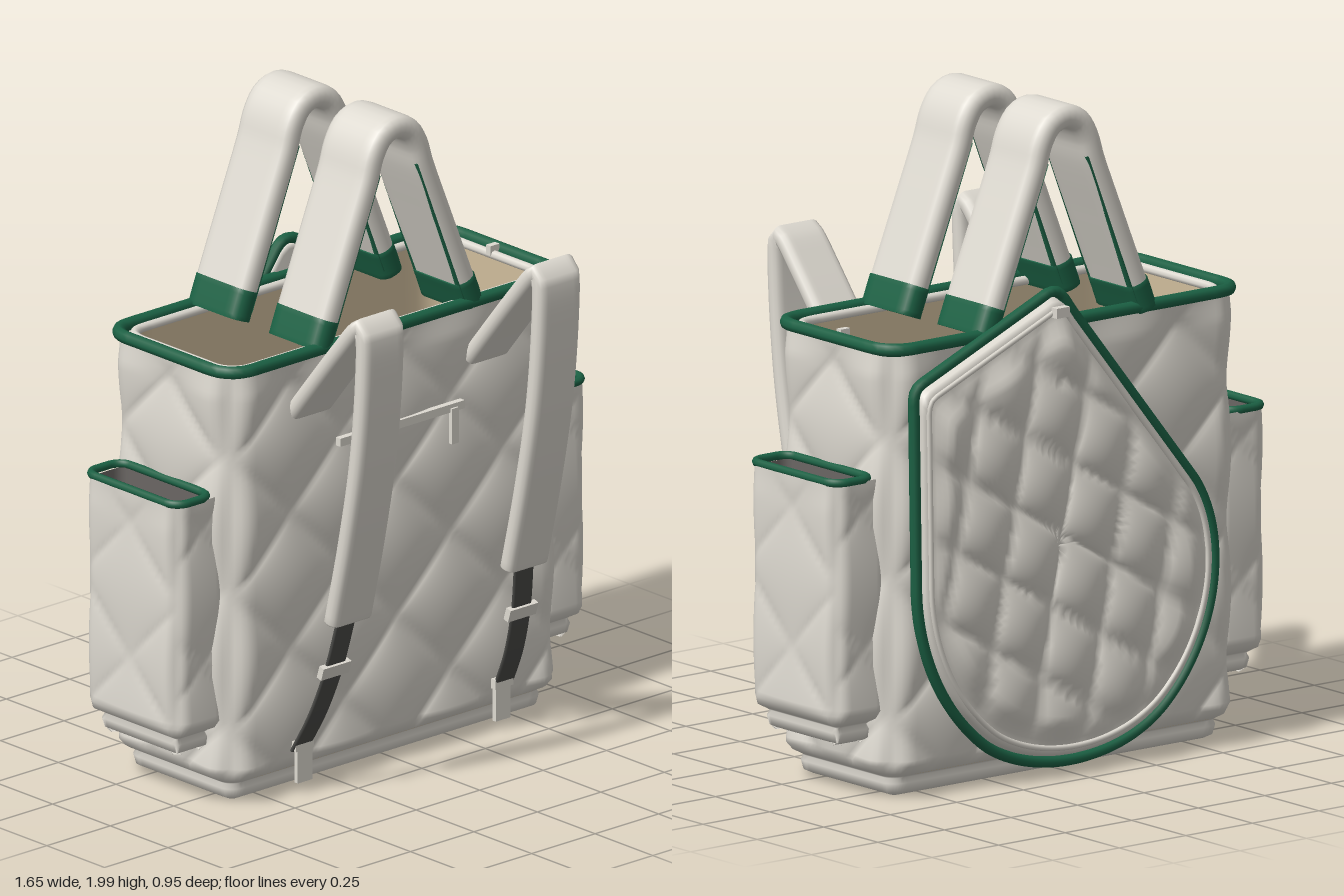
import * as THREE from 'three';

const mat = (name, color, side = THREE.FrontSide) => {
  const m = new THREE.MeshStandardMaterial({ color, side });
  m.name = name;
  return m;
};
const V = (x, y, z) => new THREE.Vector3(x, y, z);
const CZ = -0.122; // depth centre of the bag

// Smooth skin over rows of points, each row a closed loop; always faces outward
function skin(rows) {
  const n = rows[0].length, pts = rows.flat(), idx = [];
  for (let j = 0; j < rows.length - 1; j++) {
    for (let i = 0; i < n; i++) {
      const a = j * n + i, b = j * n + (i + 1) % n;
      idx.push(a, b, a + n, b, b + n, a + n);
    }
  }
  const c = pts.reduce((s, p) => s.add(p), V(0, 0, 0)).divideScalar(pts.length);
  let volume = 0;
  for (let i = 0; i < idx.length; i += 3) {
    const [p, q, r] = [0, 1, 2].map(k => pts[idx[i + k]].clone().sub(c));
    volume += p.dot(q.cross(r));
  }
  if (volume < 0) idx.reverse();
  const g = new THREE.BufferGeometry().setFromPoints(pts);
  g.setIndex(idx);
  g.computeVertexNormals();
  return g;
}

// Rounded rectangle in plan, as points with outward normals
function ring(hw, hd, r, n) {
  const s = new THREE.Shape();
  s.absarc(hw - r, hd - r, r, 0, Math.PI / 2);
  s.absarc(r - hw, hd - r, r, Math.PI / 2, Math.PI);
  s.absarc(r - hw, r - hd, r, Math.PI, Math.PI * 1.5);
  s.absarc(hw - r, r - hd, r, Math.PI * 1.5, Math.PI * 2);
  s.closePath();
  return s.getSpacedPoints(n).slice(0, n).map(p => {
    const cx = THREE.MathUtils.clamp(p.x, r - hw, hw - r), cz = THREE.MathUtils.clamp(p.y, r - hd, hd - r);
    const l = Math.hypot(p.x - cx, p.y - cz) || 1;
    return { x: p.x, z: p.y, nx: (p.x - cx) / l, nz: (p.y - cz) / l };
  });
}

// Diamond quilting: 0 on the seams, 1 in the middle of a pad
const quilt = (a, b, pa, pb) =>
  Math.sqrt(Math.abs(Math.sin(Math.PI * (a / pa + b / pb)) * Math.sin(Math.PI * (a / pa - b / pb))));

// Quilted open-topped box with a stepped base
function quiltedShell(cx, hw, hd, r, y0, y1, amp, pitch, n, steps) {
  const base = ring(hw, hd, r, n), rows = [];
  for (let k = 0; k <= 14; k++) {
    const s = k / 14;
    rows.push(base.map(p => {
      const x = (p.x - p.nx * 0.065) * s, z = (p.z - p.nz * 0.065) * s;
      return V(cx + x, y0 + 0.022 * (1 - quilt(x, z, pitch, pitch)) * (1 - s ** 6), CZ + z);
    }));
  }
  for (const [dy, inset] of [[0.012, 0.04], [0.04, 0.032], [0.055, 0.04], [0.062, 0.03], [0.075, 0.005]])
    rows.push(base.map(p => V(cx + p.x - p.nx * inset, y0 + dy, CZ + p.z - p.nz * inset)));
  for (let k = 0; k <= steps; k++) {
    const y = y0 + 0.1 + (y1 - y0 - 0.1) * k / steps;
    const fade = Math.min(1, (y1 - y) / 0.08);
    rows.push(base.map(p => {
      const m = Math.max(Math.abs(p.nx), Math.abs(p.nz)), a = Math.abs(p.nx) > Math.abs(p.nz) ? p.z : p.x;
      const d = amp * (2 * m * m - 1) * (quilt(a, y - 0.45, pitch, pitch) * fade + (1 - fade) * 0.6);
      return V(cx + p.x + p.nx * d, y, CZ + p.z + p.nz * d);
    }));
  }
  return skin(rows);
}

// Plain inner walls and floor
function lining(cx, hw, hd, r, y0, y1) {
  const base = ring(hw, hd, r, 64);
  return skin([[0, y0], [0.97, y0], [1, y0], [1, y0 + 0.02], [1, y1]].map(([s, y]) =>
    base.map(p => V(cx + p.x * s, y, CZ + p.z * s))));
}

const loopTube = (pts, radius, seg = 160) =>
  new THREE.TubeGeometry(new THREE.CatmullRomCurve3(pts, true), seg, radius, 8, true);
const rimTube = (cx, hw, hd, r, y, radius) =>
  loopTube(ring(hw, hd, r, 80).map(p => V(cx + p.x, y, CZ + p.z)), radius);

// Padded band swept along a flat path; place(a, b, w) puts it into space
function band(path, width, thick, place, steps = 40) {
  const curve = new THREE.CatmullRomCurve3(path.map(([a, b]) => V(a, b, 0)));
  const section = ring(width / 2, thick / 2, thick * 0.42, 32), rows = [];
  const add = (t, s) => {
    const p = curve.getPointAt(t), d = curve.getTangentAt(t);
    rows.push(section.map(q => place(p.x - d.y * q.z * s, p.y + d.x * q.z * s, q.x * s)));
  };
  add(0, 0); add(0, 0.9); add(0, 0.95);
  for (let i = 0; i <= steps; i++) add(0.004 + 0.992 * i / steps, 1);
  add(1, 0.95); add(1, 0.9); add(1, 0);
  return skin(rows);
}

export function createModel() {
  const cream = mat('cream fabric', 0xdedad1);
  const green = mat('green trim', 0x1b6144);
  const beige = mat('beige lining', 0xd0bd9c, THREE.DoubleSide);
  const dark = mat('dark webbing', 0x4b4b48);
  const grey = mat('grey pocket lining', 0x6a6663, THREE.DoubleSide);
  const tan = mat('tan fittings', 0xa58d6b);
  const model = new THREE.Group();
  const add = (name, geo, material, x = 0, y = 0, z = 0) => {
    const m = new THREE.Mesh(geo, material);
    m.name = name;
    m.position.set(x, y, z);
    model.add(m);
    return m;
  };
  const box = (name, w, h, d, material, x, y, z) => add(name, new THREE.BoxGeometry(w, h, d), material, x, y, z);

  // Main compartment
  add('body', quiltedShell(0, 0.652, 0.258, 0.08, 0.005, 1.35, 0.026, 0.42, 220, 80), cream);
  add('bodyLining', lining(0, 0.625, 0.235, 0.07, 0.07, 1.35), beige);
  add('bodyRim', rimTube(0, 0.658, 0.266, 0.08, 1.353, 0.02), green);
  add('rimZip', rimTube(0, 0.622, 0.232, 0.07, 1.345, 0.014), cream);
  add('ballHolder', new THREE.CylinderGeometry(0.135, 0.135, 0.35, 40, 1, true), beige, -0.43, 0.25, -0.19);
  add('ballHolderRim', new THREE.TorusGeometry(0.135, 0.007, 8, 40).rotateX(Math.PI / 2), beige, -0.43, 0.425, -0.19);
  box('keyHook', 0.12, 0.012, 0.012, tan, -0.54, 1.1, -0.22);
  box('innerZipFront', 0.24, 0.02, 0.02, tan, 0.43, 1.0, 0.075);
  box('innerZipBack', 0.22, 0.02, 0.02, tan, 0.38, 1.0, -0.335);
  box('zipPull', 0.035, 0.03, 0.02, cream, 0.625, 1.36, -0.13);
  for (const s of [-1, 1]) box('innerPocketTrim', 0.022, 0.03, 0.38, green, s * 0.605, 1.2, CZ);

  // Side pockets
  for (const s of [-1, 1]) {
    add('sidePocket', quiltedShell(s * 0.71, 0.1, 0.198, 0.045, 0.17, 0.965, 0.014, 0.42, 110, 40), cream);
    add('sidePocketLining', lining(s * 0.735, 0.06, 0.18, 0.03, 0.27, 0.96), grey);
    add('sidePocketRim', rimTube(s * 0.738, 0.07, 0.198, 0.045, 0.968, 0.013), green);
  }

  // Carry handles: padded arch, green facing inside, green sleeve at the foot
  for (const z of [0.05, -0.3]) {
    const place = (a, b, w) => V(a, b, z + w);
    add('handle', band([[-0.295, 1.36], [-0.255, 1.46], [-0.18, 1.645], [-0.108, 1.825], [-0.085, 1.895], [-0.05, 1.945], [0, 1.963],
      [0.05, 1.945], [0.085, 1.895], [0.108, 1.825], [0.18, 1.645], [0.255, 1.46], [0.295, 1.36]], 0.22, 0.072, place, 70), cream);
    for (const s of [-1, 1]) {
      const mirror = (a, b, w) => V(s * a, b, z + w);
      add('handleFacing', band([[0.262, 1.36], [0.167, 1.6], [0.074, 1.835]], 0.205, 0.009, mirror, 8), green);
      add('handleSleeve', band([[0.3, 1.345], [0.283, 1.39], [0.267, 1.43]], 0.224, 0.082, mirror, 6), green);
    }
  }

  // Shoulder straps with webbing, buckle and anchor tab
  for (const s of [-1, 1]) {
    add('shoulderStrap', band([[0.14, 1.18], [0.225, 1.285], [0.34, 1.425], [0.415, 1.51], [0.437, 1.523], [0.447, 1.49], [0.445, 1.36],
      [0.42, 1.1], [0.37, 0.83], [0.31, 0.57]], 0.166, 0.052, (a, b, w) => V(s * 0.347 + w, b, a), 60), cream);
    add('webbing', band([[0.31, 0.59], [0.275, 0.42], [0.225, 0.27], [0.16, 0.14]], 0.075, 0.01,
      (a, b, w) => V(s * (0.35 + (0.57 - b) * 0.115) + w, b, a), 24), dark);
    box('buckle', 0.11, 0.04, 0.02, cream, s * 0.368, 0.41, 0.275).rotation.x = 0.3;
    box('anchorTab', 0.058, 0.13, 0.014, cream, s * 0.39, 0.105, 0.166);
    box('anchorLoop', 0.07, 0.03, 0.02, cream, s * 0.393, 0.155, 0.166);
  }

  // Front zip
  box('frontZip', 0.49, 0.025, 0.02, cream, -0.005, 1.055, 0.162);
  box('frontZipPull', 0.026, 0.11, 0.014, cream, 0.197, 1.0, 0.172);

  // Racket pocket on the back: tilted teardrop outline
  const outline = new THREE.Shape();
  outline.moveTo(0.56, 1.25);
  outline.lineTo(0.08, 1.455);
  outline.quadraticCurveTo(0.04, 1.46, 0.01, 1.405);
  outline.lineTo(-0.46, 0.82);
  outline.bezierCurveTo(-0.6, 0.62, -0.54, 0.33, -0.35, 0.16);
  outline.bezierCurveTo(-0.18, 0.01, 0.14, 0.01, 0.32, 0.13);
  outline.bezierCurveTo(0.48, 0.25, 0.57, 0.43, 0.58, 0.62);
  outline.lineTo(0.59, 1.2);
  outline.quadraticCurveTo(0.59, 1.24, 0.56, 1.25);
  const edge = outline.getSpacedPoints(140).slice(0, 140);
  const mx = 0.08, my = 0.7;
  const scaled = (s, z) => edge.map(p => {
    const x = mx + (p.x - mx) * s, y = my + (p.y - my) * s;
    return V(x, y, typeof z === 'function' ? z(x, y) : z);
  });
  const rows = [scaled(0, -0.385), scaled(0.97, -0.385), scaled(0.98, -0.4), scaled(0.965, -0.43), scaled(0.945, -0.44)];
  for (let k = 0; k <= 32; k++) {
    const s = 0.92 * (1 - k / 32), fade = Math.min(1, k / 4);
    rows.push(scaled(s, (x, y) => -0.438 - 0.036 * fade * quilt(x * 0.9 - y * 0.4, y * 0.9 + x * 0.4, 0.24, 0.34)));
  }
  add('racketPocket', skin(rows), cream);
  add('racketPocketTrim', loopTube(scaled(1, -0.412), 0.017, 220), green);
  add('racketPocketZip', loopTube(scaled(0.93, -0.438), 0.009, 180), cream);
  box('racketZipPull', 0.05, 0.03, 0.025, cream, 0.07, 1.4, -0.452);

  return model;
}
